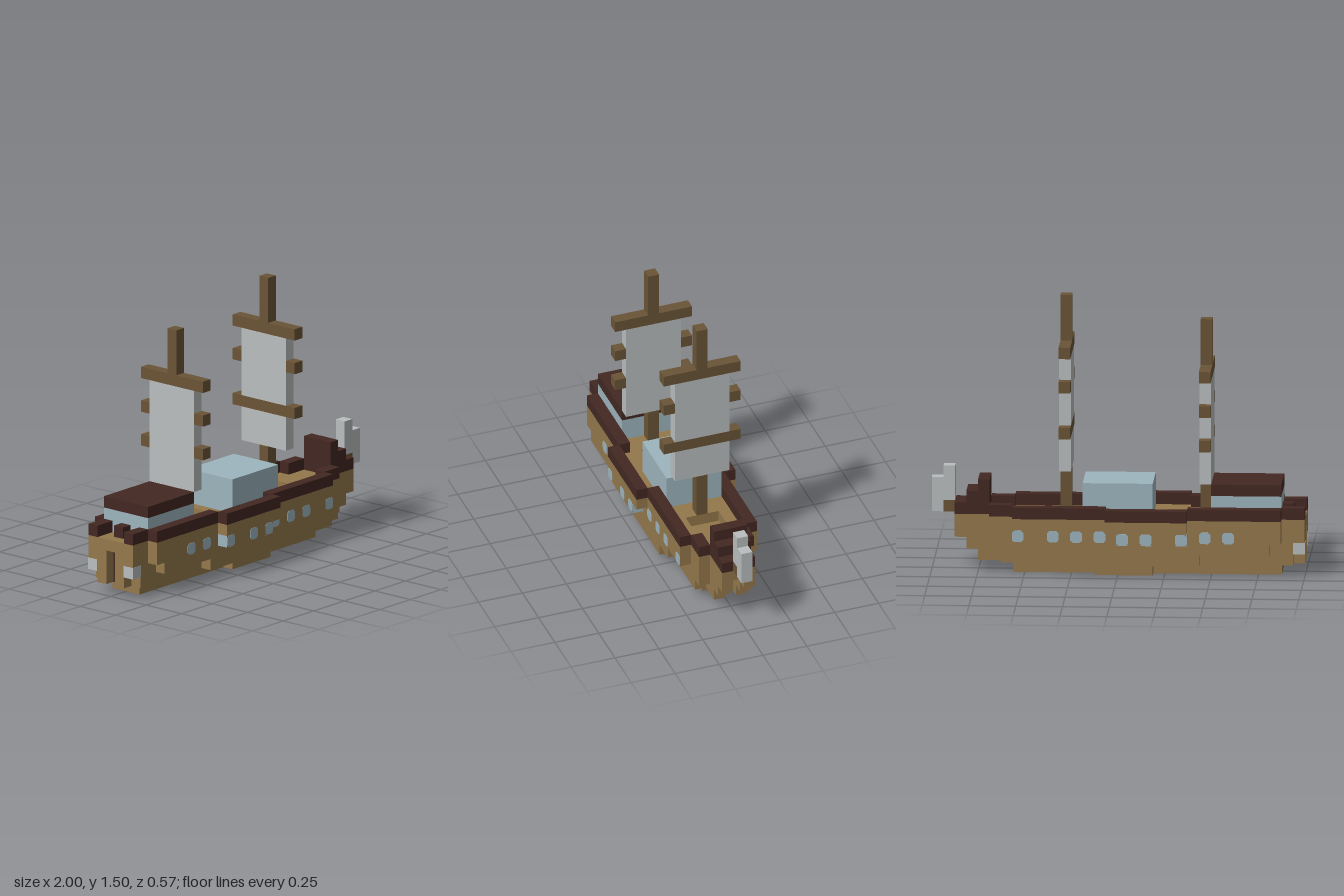
import * as THREE from 'three';

const U = 0.0625; // edge of one building block; all numbers below are in blocks

const mat = (name, color) => {
  const m = new THREE.MeshStandardMaterial({ color });
  m.name = name;
  return m;
};

export function createModel() {
  const ship = new THREE.Group();
  ship.name = 'sailingShip';
  const wood = mat('hull wood', 0x94784c);
  const dark = mat('dark wood', 0x432822);
  const spar = mat('mast wood', 0x6a5436);
  const blue = mat('pale blue', 0x9db5be);
  const grey = mat('sail grey', 0xbabebe);

  const add = (name, geometry, material) => {
    const mesh = new THREE.Mesh(geometry.scale(U, U, U), material);
    mesh.name = name;
    ship.add(mesh);
    return mesh;
  };
  const box = (name, material, x0, x1, y0, y1, z0, z1) =>
    add(name, new THREE.BoxGeometry(x1 - x0, y1 - y0, z1 - z0)
      .translate((x0 + x1) / 2, (y0 + y1) / 2, (z0 + z1) / 2), material);
  const pair = (name, material, x0, x1, y0, y1, z0, z1) => {
    box(name + 'Left', material, x0, x1, y0, y1, z0, z1);
    box(name + 'Right', material, x0, x1, y0, y1, -z1, -z0);
  };

  // One hull layer: steps are [start x, half width]; slots cut the centre at both ends
  const layer = (name, y, steps, end, slots = false, hatches = []) => {
    const side = [];
    if (slots) side.push([-15, 0.5], [steps[0][0], 0.5]);
    steps.forEach(([x, half], i) => {
      side.push([x, half], [i + 1 < steps.length ? steps[i + 1][0] : end, half]);
    });
    if (slots) side.push([end, 0.5], [11, 0.5]);
    const other = side.map(([x, z]) => [x, -z]).reverse();
    const toPoints = (list) => list.map(([x, z]) => new THREE.Vector2(x, z));
    const shape = new THREE.Shape(toPoints([...side, ...other]));
    for (const [a, b] of hatches) {
      shape.holes.push(new THREE.Path(toPoints([[a, -1.5], [b, -1.5], [b, 1.5], [a, 1.5]])));
    }
    const geo = new THREE.ExtrudeGeometry(shape, { depth: 1, bevelEnabled: false });
    add(name, geo.rotateX(-Math.PI / 2).translate(0, y, 0), wood);
  };

  // Hull, from keel to deck
  layer('keel', 0, [[-14, 1.5], [-3, 2.5], [2, 1.5]], 9);
  layer('lowerHull', 1, [[-16, 1.5], [-15, 2.5], [-7, 3.5], [4, 2.5], [10, 1.5]], 12, true);
  layer('middleHull', 2, [[-16, 2.5], [-13, 3.5], [6, 2.5], [11, 1.5]], 13, true);
  layer('upperHull', 3,
    [[-16, 2.5], [-14, 3.5], [-6, 4.5], [0, 3.5], [9, 2.5], [11, 1.5]], 14, true);
  layer('deck', 4,
    [[-16, 2.5], [-14, 3.5], [-6, 4.5], [1, 3.5], [9, 2.5], [11, 1.5]], 14, false,
    [[-6, -4], [5, 7]]);

  // Dark posts at the back of the end slots
  box('stem', dark, 10.9, 11.04, 1, 4, -0.5, 0.5);
  box('rudder', dark, -15.04, -14.9, 1, 4, -0.5, 0.5);
  box('helmPost', dark, -15, -14, 5, 6, -0.5, 0.5);

  // Rails along the deck edge
  for (const [x0, x1, half] of [[-16, -14, 2.5], [-14, -6, 3.5], [-6, 1, 4.5], [1, 9, 3.5], [9, 11, 2.5]]) {
    pair('rail', dark, x0, x1, 5, 6, half - 1, half);
  }

  // Stepped bow block, bowsprit and figurehead
  [8, 7, 6].forEach((top, i) => box('bowStep', dark, 11 + i, 12 + i, 5, top, -1.5, 1.5));
  box('bowsprit', spar, 14, 15, 5, 6, -0.5, 0.5);
  box('figureheadBack', grey, 14, 15, 6, 9, -0.5, 0.5);
  box('figureheadFront', grey, 15, 16, 5, 8, -0.5, 0.5);

  // Stern lamps set in the hull corners
  pair('sternLamp', grey, -16.03, -15, 1.98, 3, 1.5, 2.53);

  // Side windows with clipped corners, as thin plates
  const c = 0.2;
  const pane = new THREE.Shape([[c, 0], [1 - c, 0], [1, c], [1, 1 - c], [1 - c, 1], [c, 1], [0, 1 - c], [0, c]]
    .map(([x, y]) => new THREE.Vector2(x, y)));
  for (const x of [-10, -8, -6, -3, -1, 1, 3, 5, 8]) {
    const bulged = x >= -6 && x < 0;
    const half = bulged ? 4.5 : 3.5;
    for (const z of [half - 0.02, -half - 0.03]) {
      add('window', new THREE.ExtrudeGeometry(pane, { depth: 0.05, bevelEnabled: false })
        .translate(x, 3, z), blue);
    }
    if (bulged) pair('windowUnderside', blue, x, x + 1, 2.97, 3.02, 3.5, 4.5);
  }
  // Window ends on the bulging middle
  pair('windowEndBack', blue, -6.03, -5.98, 3, 4, 3.5, 4.5);
  pair('windowEndFront', blue, -0.02, 0.03, 3, 4, 3.5, 4.5);

  // Cabins
  box('middleCabin', blue, -3, 3, 5, 8, -2.5, 2.5);
  box('sternCabin', blue, -14, -8, 5, 7, -2.5, 2.5);
  box('sternCabinRoof', dark, -14, -8, 7, 8, -2.5, 2.5);

  // Masts with a top yard, a sail and yards that cross it or show only at its ends
  const rig = (name, x, sailFoot, sailHead, top, crossing, ends) => {
    box(name + 'MastFoot', spar, x, x + 1, 5, sailFoot, -0.5, 0.5);
    box(name + 'MastTop', spar, x, x + 1, sailHead + 1, top, -0.5, 0.5);
    let y = sailFoot;
    for (const yard of [...crossing, sailHead]) {
      box(name + 'Sail', grey, x, x + 1, y, yard, -2.5, 2.5);
      box(name + 'Yard', spar, x, x + 1, yard, yard + 1, -3.5, 3.5);
      y = yard + 1;
    }
    for (const e of ends) pair(name + 'YardEnd', spar, x, x + 1, e, e + 1, 2.5, 3.5);
  };
  rig('fore', 4, 9, 19, 24, [12], [16]);
  rig('aft', -8, 8, 17, 22, [], [11, 14]);

  return ship;
}
